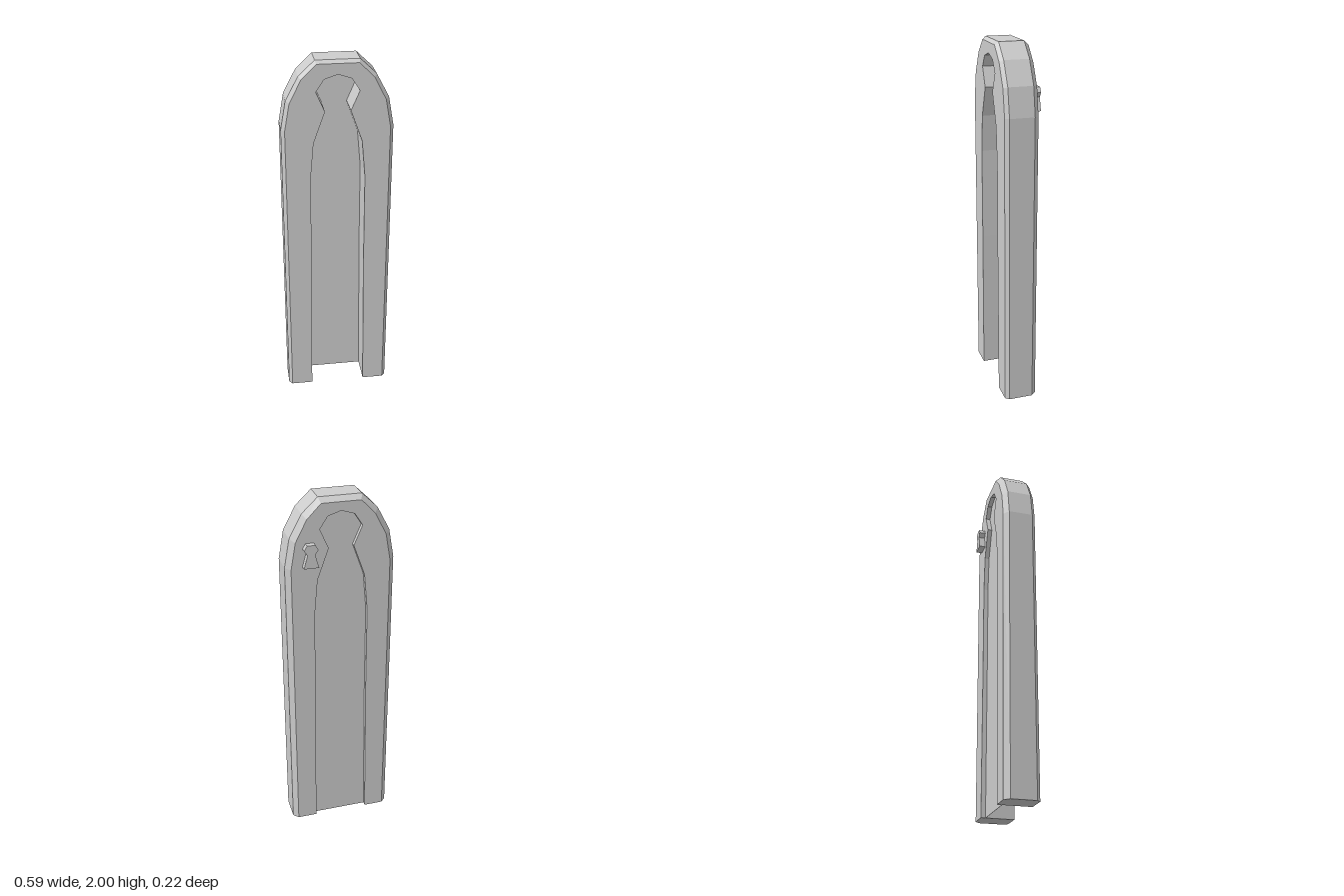
import * as THREE from 'three';

// Right half of a symmetric outline, listed bottom to top; returns it right -> top -> left
function mirrored(half) {
  const left = half.filter(([x]) => x > 0).reverse().map(([x, y]) => [-x, y]);
  return [...half, ...left];
}
const toShape = (pts) => new THREE.Shape(pts.map(([x, y]) => new THREE.Vector2(x, y)));

// Arched outer edge at its widest, and the narrower edges of the two bevels
const outer = mirrored([[0.295, 0], [0.295, 1.64], [0.267, 1.795], [0.2, 1.92], [0.115, 2]]);
const frontEdge = mirrored([[0.276, 0], [0.276, 1.638], [0.249, 1.787], [0.187, 1.907], [0.109, 1.984]]);
const backEdge = mirrored([[0.267, 0], [0.267, 1.635], [0.241, 1.78], [0.18, 1.897], [0.105, 1.974]]);

// Keyhole-like opening that runs out through the bottom
const opening = mirrored([
  [0.156, 0], [0.147, 0.84], [0.146, 1.36], [0.128, 1.565],
  [0.067, 1.735], [0.113, 1.84], [0.071, 1.905], [0, 1.928],
]);

// Loft closed loops through depth and cap both ends
function loft(sections) {
  const pos = [];
  const put = (s, i) => pos.push(...s.pts[i], s.z);
  for (let k = 0; k < sections.length - 1; k++) {
    const a = sections[k], b = sections[k + 1], n = a.pts.length;
    for (let i = 0; i < n; i++) {
      const j = (i + 1) % n;
      put(a, i); put(a, j); put(b, j);
      put(a, i); put(b, j); put(b, i);
    }
  }
  const cap = (s, flip) => {
    const faces = THREE.ShapeUtils.triangulateShape(s.pts.map(([x, y]) => new THREE.Vector2(x, y)), []);
    for (const f of faces) (flip ? [f[0], f[2], f[1]] : f).forEach((i) => put(s, i));
  };
  cap(sections[0], true);
  cap(sections[sections.length - 1], false);
  const g = new THREE.BufferGeometry();
  g.setAttribute('position', new THREE.Float32BufferAttribute(pos, 3));
  g.computeVertexNormals();
  return g;
}

export function createModel() {
  const group = new THREE.Group();
  group.name = 'archedSlab';
  const grey = new THREE.MeshStandardMaterial({ color: 0xcccccc });
  grey.name = 'light grey';
  const add = (name, geometry) => {
    const mesh = new THREE.Mesh(geometry, grey);
    mesh.name = name;
    group.add(mesh);
    return mesh;
  };

  // Bevelled arched frame around the opening
  const hole = [...opening].reverse();
  add('frame', loft([
    { z: -0.075, pts: [...backEdge, ...hole] },
    { z: -0.047, pts: [...outer, ...hole] },
    { z: 0.09, pts: [...outer, ...hole] },
    { z: 0.11, pts: [...frontEdge, ...hole] },
  ]));

  // Thin panel closing the opening: deep from the front, shallow from the back
  const panel = add('recessPanel', new THREE.ExtrudeGeometry(toShape(opening), { depth: 0.002, bevelEnabled: false }));
  panel.position.z = -0.05;

  // Small raised keyhole on the back
  const key = mirrored([[0.04, 1.648], [0.02, 1.72], [0.038, 1.745], [0.022, 1.772]]);
  const keyhole = add('raisedKeyhole', new THREE.ExtrudeGeometry(toShape(key), { depth: 0.036, bevelEnabled: false }));
  keyhole.position.set(0.167, 0, -0.11);

  return group;
}
